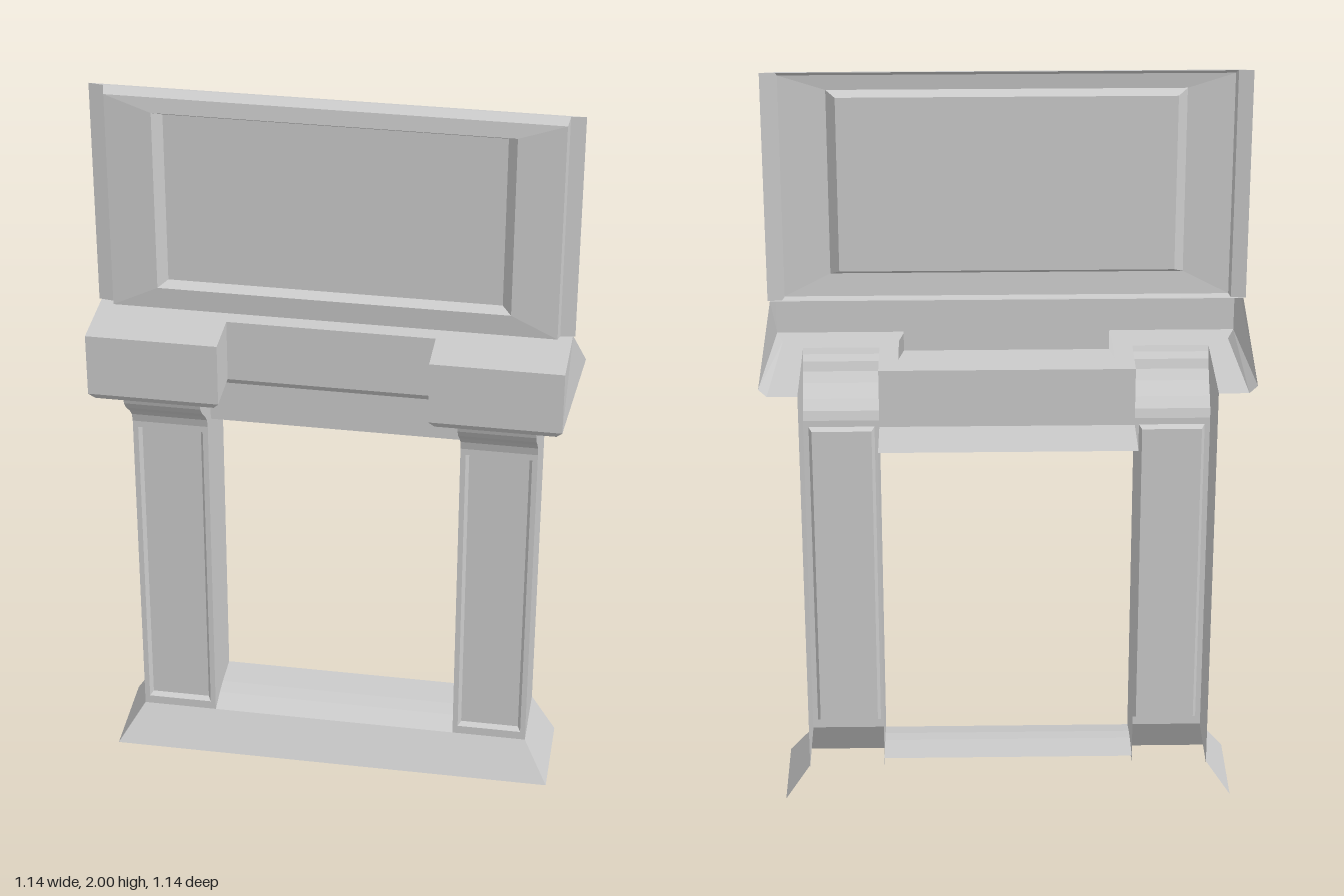
import * as THREE from 'three';

const material = new THREE.MeshStandardMaterial({ color: 0xcccccc, flatShading: true, side: THREE.DoubleSide });

// Sheet spanned between rows of [x, y, z] points
function loft(name, rows) {
  const pos = [];
  for (let i = 0; i < rows.length - 1; i++) {
    for (let j = 0; j < rows[i].length - 1; j++) {
      const a = rows[i][j], b = rows[i][j + 1], c = rows[i + 1][j + 1], d = rows[i + 1][j];
      pos.push(...a, ...c, ...b, ...a, ...d, ...c);
    }
  }
  const geo = new THREE.BufferGeometry();
  geo.setAttribute('position', new THREE.Float32BufferAttribute(pos, 3));
  geo.computeVertexNormals();
  const mesh = new THREE.Mesh(geo, material);
  mesh.name = name;
  return mesh;
}

// Nested rectangles [x0, x1, y0, y1, z], from the rim to the centre, closed in the middle
function steppedPanel(name, rects) {
  const rows = rects.map(([x0, x1, y0, y1, z]) =>
    [[x0, y0, z], [x0, y1, z], [x1, y1, z], [x1, y0, z], [x0, y0, z]]);
  const [x0, x1, y0, y1, z] = rects[rects.length - 1];
  rows.push(Array(5).fill([(x0 + x1) / 2, (y0 + y1) / 2, z]));
  return loft(name, rows);
}

// Mantel plan: half outline [x, z] mirrored to a full row at height y
function planRow(y, half) {
  const right = half.map(([x, z]) => [x, y, z]);
  const left = half.map(([x, z]) => [-x, y, z]).reverse();
  return [...right, ...left];
}

const IN = 0.335, OUT = 0.537, FRONT = 0.025, BACK = -0.174, LINTEL = -0.017;
const FOOT = 0.105, HEAD = 1.04, SHELF = 1.2;

function createPillar(name, side) {
  const g = new THREE.Group();
  g.name = name;

  // Front with a recessed panel
  g.add(steppedPanel('pillarFront', [
    [IN, OUT, FOOT, HEAD, FRONT],
    [0.349, 0.523, 0.13, 1.022, FRONT],
    [0.357, 0.515, 0.138, 1.014, FRONT - 0.014],
  ]));
  // Side walls
  g.add(loft('outerWall', [
    [[OUT, SHELF, FRONT], [OUT, SHELF, BACK]],
    [[OUT, 0.1, FRONT], [OUT, 0.1, BACK]],
  ]));
  g.add(loft('innerWall', [
    [[IN, HEAD, BACK], [IN, HEAD, FRONT]],
    [[IN, 0.1, BACK], [IN, 0.1, FRONT]],
  ]));

  // Curved corbel under the shelf, as [y, z]
  const curve = [[SHELF, 0.14], [1.185, 0.132], [1.17, 0.118], [1.145, 0.11], [1.12, 0.09],
    [1.09, 0.055], [1.065, 0.032], [HEAD, FRONT]];
  g.add(loft('corbelFront', curve.map(([y, z]) => [[IN, y, z], [OUT, y, z]])));
  g.add(loft('corbelOuterSide', curve.map(([y, z]) => [[OUT, y, z], [OUT, y, FRONT]])));
  g.add(loft('corbelInnerSide', curve.map(([y, z]) => [[IN, y, LINTEL], [IN, y, z]])));

  // Flared foot wrapping the front and the outer side
  g.add(loft('flaredFoot', [
    [[IN, FOOT, FRONT], [OUT, FOOT, FRONT], [OUT, FOOT, BACK]],
    [[IN, 0, 0.085], [0.605, 0, 0.085], [0.605, 0, BACK]],
  ]));
  g.scale.x = side;
  return g;
}

export function createModel() {
  const fireplace = new THREE.Group();
  fireplace.name = 'fireplace';
  fireplace.add(createPillar('leftPillar', 1), createPillar('rightPillar', -1));

  // Hearth: sloped front and gently raised floor, as [y, z]
  const hearth = [[0.125, BACK], [0.125, -0.08], [0.12, -0.035], [FOOT, FRONT], [0, 0.085]];
  fireplace.add(loft('hearth', hearth.map(([y, z]) => [[-IN, y, z], [IN, y, z]])));

  // Lintel and the soffit running back from its lower edge
  const lintel = [[SHELF, LINTEL], [HEAD, LINTEL], [HEAD, -0.177]];
  fireplace.add(loft('lintel', lintel.map(([y, z]) => [[-IN, y, z], [IN, y, z]])));

  // Mantel shelf: top, stepped front, bevel and underside around the corbels
  fireplace.add(loft('mantelShelf', [
    planRow(1.39, [[0.608, 0], [0.608, 0], [0.269, 0], [0.269, 0]]),
    planRow(1.39, [[0.61, 0], [0.608, 0.198], [0.269, 0.198], [0.269, 0.07]]),
    planRow(1.22, [[0.636, -0.177], [0.608, 0.198], [0.269, 0.198], [0.269, 0.07]]),
    planRow(SHELF, [[0.615, -0.177], [0.593, 0.183], [0.284, 0.183], [0.284, 0.055]]),
    planRow(SHELF, [[OUT, -0.177], [OUT, 0.14], [IN, 0.14], [IN, LINTEL]]),
  ]));

  // Overmantel: side strips, raised frame and sunken centre
  fireplace.add(steppedPanel('overmantel', [
    [-0.616, 0.616, 1.39, 2, 0.002],
    [-0.578, 0.578, 1.39, 2, 0.008],
    [-0.573, 0.573, 1.392, 1.985, 0.029],
    [-0.454, 0.454, 1.453, 1.945, 0.034],
    [-0.43, 0.43, 1.467, 1.932, 0.01],
  ]));

  // The whole piece stands diagonally
  fireplace.rotation.y = Math.PI / 4;
  const model = new THREE.Group();
  model.name = 'model';
  model.add(fireplace);
  return model;
}
